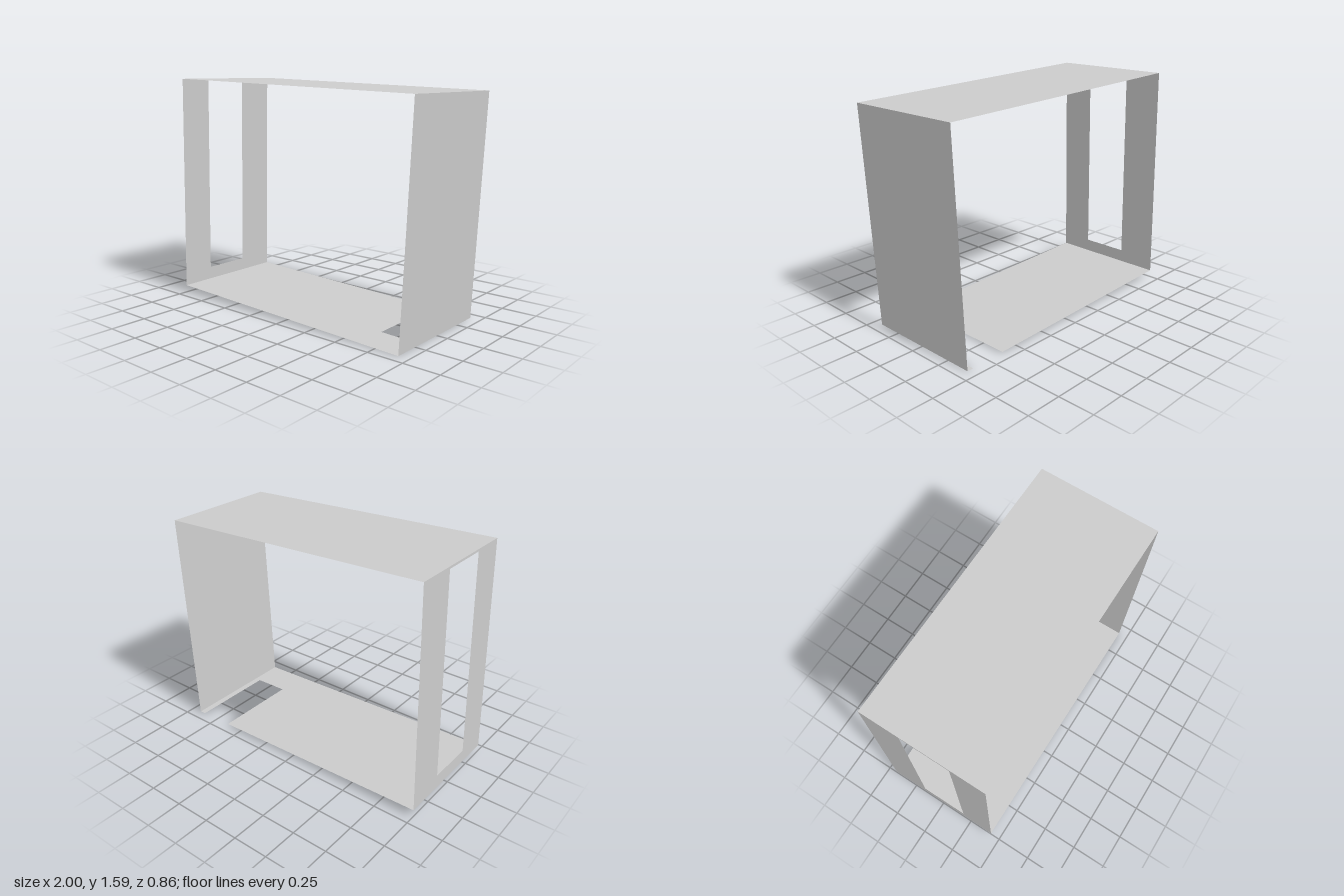
import * as THREE from 'three';

const HALF = 0.43; // half depth of the frame along z

// Corners of the slightly skewed frame, as [x, y]
const bottomA = [-1, 0.052];
const topA = [-0.966, 1.59];
const topB = [1, 1.524];
const bottomB = [0.924, 0];

const toPoints = (list) => list.map(([t, z]) => new THREE.Vector2(t, z));

// Thin panel spanning two frame corners; outline points are [fraction along the span, z]
function panel(name, from, to, outline, hole) {
  const shape = new THREE.Shape(toPoints(outline));
  if (hole) shape.holes.push(new THREE.Path(toPoints(hole)));
  const geometry = new THREE.ShapeGeometry(shape);
  const pos = geometry.attributes.position;
  for (let i = 0; i < pos.count; i++) {
    const t = pos.getX(i);
    const z = pos.getY(i);
    pos.setXYZ(
      i,
      THREE.MathUtils.lerp(from[0], to[0], t),
      THREE.MathUtils.lerp(from[1], to[1], t),
      z
    );
  }
  geometry.computeVertexNormals();
  const material = new THREE.MeshStandardMaterial({
    color: 0xcccccc,
    side: THREE.DoubleSide,
    flatShading: true,
  });
  const mesh = new THREE.Mesh(geometry, material);
  mesh.name = name;
  return mesh;
}

const rect = (t0, t1, z0, z1) => [[t0, z0], [t1, z0], [t1, z1], [t0, z1]];

export function createModel() {
  const group = new THREE.Group();
  group.name = 'openFrame';
  const full = rect(0, 1, -HALF, HALF);

  // Ceiling and solid end wall
  group.add(panel('ceiling', topB, topA, full));
  group.add(panel('solidWall', bottomB, topB, full));

  // End wall with a tall opening
  group.add(panel('wallWithOpening', topA, bottomA, full, rect(0.01, 0.94, -0.15, 0.19)));

  // Floor with a notch cut in from the back, leaving a narrow strip by the solid wall
  group.add(panel('floor', bottomA, bottomB, [
    [0, -HALF], [0.847, -HALF], [0.847, 0.19], [0.977, 0.19],
    [0.977, -HALF], [1, -HALF], [1, HALF], [0, HALF],
  ]));

  return group;
}
